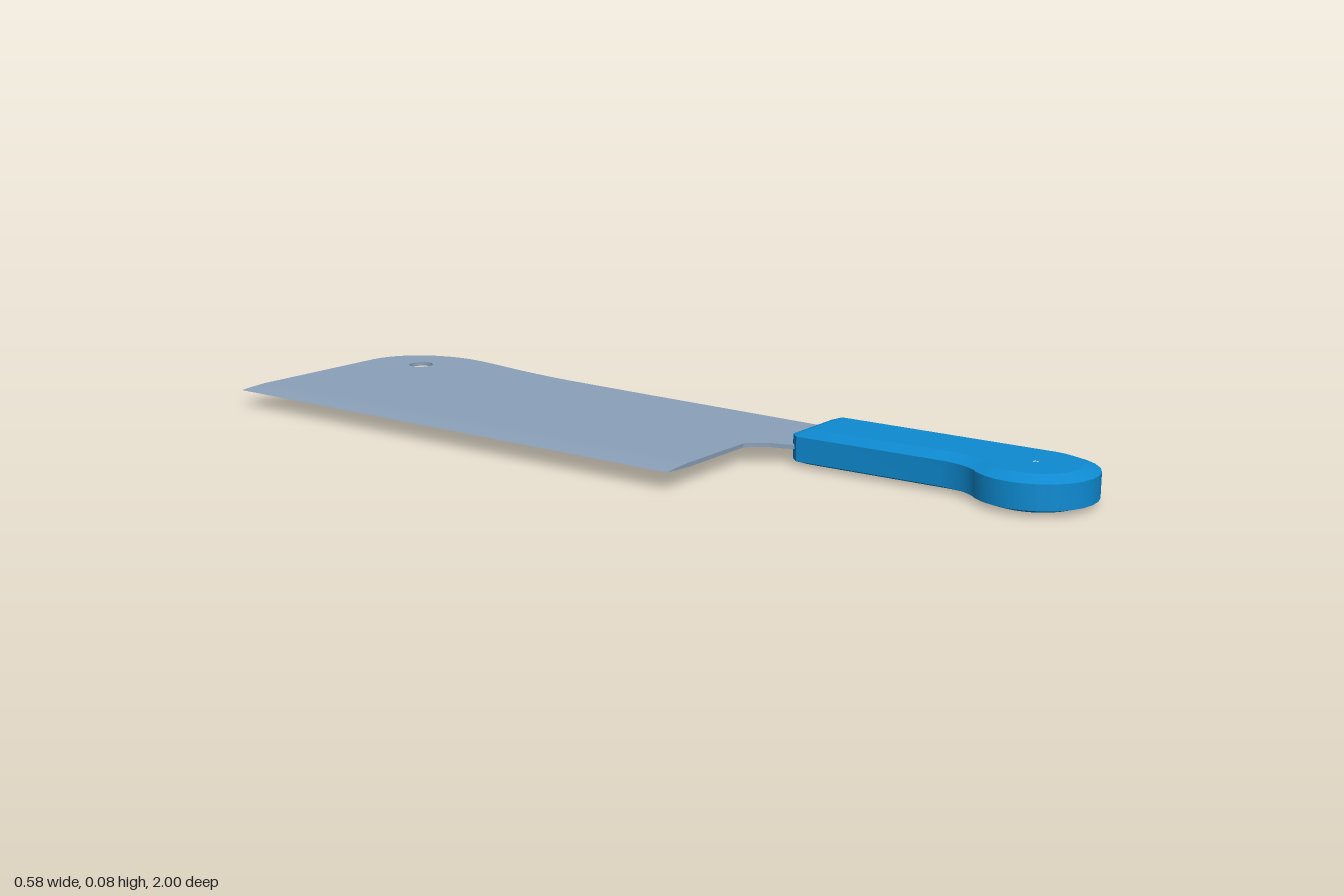
import * as THREE from 'three';
import { toCreasedNormals } from 'three/addons/utils/BufferGeometryUtils.js';

const steel = new THREE.MeshStandardMaterial({ name: 'steel', color: 0x8ba1b9 });
const blue = new THREE.MeshStandardMaterial({ name: 'bluePlastic', color: 0x0e8bd2 });

const MID = 0.0385; // height of the blade's centre plane
const HALF = 0.0045; // half the blade thickness

function addMesh(group, name, geometry, material, crease) {
  const mesh = new THREE.Mesh(toCreasedNormals(geometry, crease), material);
  mesh.name = name;
  group.add(mesh);
}

// Shapes are drawn in plan as (x, -z) and laid flat after extrusion.
function circleHole(x, y, r) {
  return new THREE.Path().absarc(x, y, r, 0, Math.PI * 2, true);
}

function bladeBody() {
  const s = new THREE.Shape();
  s.moveTo(-0.22, -0.26);
  s.lineTo(-0.02, -0.26);
  s.lineTo(0.015, -0.3);
  s.lineTo(0.022, -0.33);
  s.lineTo(0.035, -0.36);
  s.lineTo(0.193, -0.36);
  s.lineTo(0.214, -0.31);
  s.lineTo(0.222, -0.1);
  s.lineTo(0.232, 0.18);
  s.lineTo(0.243, 0.43);
  // hollow of the spine swelling into the rounded nose
  s.bezierCurveTo(0.255, 0.62, 0.29, 0.71, 0.29, 0.8);
  s.bezierCurveTo(0.287, 0.91, 0.225, 0.992, 0.14, 0.995);
  s.lineTo(0, 0.997);
  s.lineTo(-0.22, 1);
  s.holes.push(circleHole(0.165, 0.85, 0.03));
  const g = new THREE.ExtrudeGeometry(s, { depth: HALF * 2, bevelEnabled: false, curveSegments: 10 });
  g.rotateX(-Math.PI / 2);
  g.translate(0, MID - HALF, 0);
  return g;
}

// Ground cutting edge: a tapering section run along the blade.
function cuttingEdge() {
  const s = new THREE.Shape();
  s.moveTo(-0.22, -HALF);
  s.lineTo(-0.22, HALF);
  s.lineTo(-0.255, 0.003);
  s.lineTo(-0.294, 0);
  s.lineTo(-0.255, -0.003);
  const g = new THREE.ExtrudeGeometry(s, { depth: 1.26, bevelEnabled: false });
  g.translate(0, MID, -1);
  return g;
}

function handleGrip() {
  const cx = 0.09, cy = -0.873, inset = 0.033, bevel = 0.012;
  const s = new THREE.Shape();
  s.moveTo(0.04, -0.345);
  s.lineTo(0.197, -0.345);
  s.lineTo(0.217, -0.365);
  s.lineTo(0.217, cy);
  s.absarc(cx, cy, 0.127, 0, -(Math.PI + 0.66), true);
  s.quadraticCurveTo(0.024, -0.765, 0.027, -0.7);
  s.lineTo(0.02, -0.365);
  s.holes.push(circleHole(cx, cy, 0.028));
  const g = new THREE.ExtrudeGeometry(s, {
    depth: 0.053, bevelThickness: bevel, bevelSize: inset, bevelOffset: -inset,
    bevelSegments: 1, curveSegments: 8,
  });
  // narrow the hole's chamfer so it is finer than the outer one
  const p = g.attributes.position;
  for (let i = 0; i < p.count; i++) {
    const dx = p.getX(i) - cx, dy = p.getY(i) - cy, d = Math.hypot(dx, dy);
    if (d > 0.045 && d < 0.07) p.setXY(i, cx + dx * 0.036 / d, cy + dy * 0.036 / d);
  }
  g.rotateX(-Math.PI / 2);
  g.translate(0, bevel, 0);
  return g;
}

export function createModel() {
  const group = new THREE.Group();
  group.name = 'cleaver';
  addMesh(group, 'bladeBody', bladeBody(), steel, 0.5);
  addMesh(group, 'cuttingEdge', cuttingEdge(), steel, 0.2);
  addMesh(group, 'handle', handleGrip(), blue, 0.3);
  return group;
}
